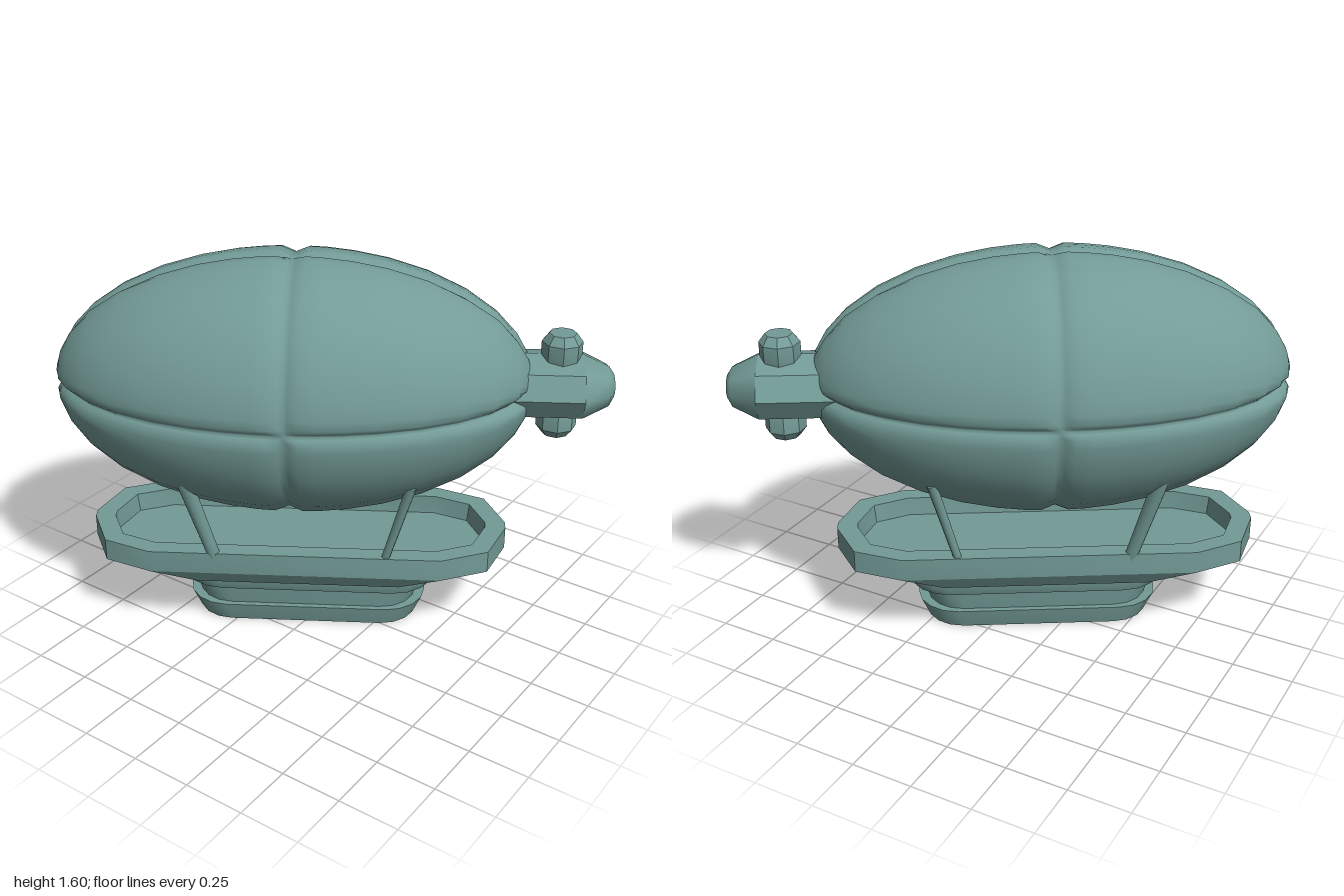
import * as THREE from 'three';
import { mergeVertices, toCreasedNormals } from 'three/addons/utils/BufferGeometryUtils.js';

const material = new THREE.MeshStandardMaterial({ color: 0x739b97 });

function addPart(parent, name, geometry) {
  const mesh = new THREE.Mesh(geometry, material);
  mesh.name = name;
  parent.add(mesh);
  return mesh;
}

// Rounded oblong outline; n = segments per corner
function oblong(L, W, n) {
  const r = W * 0.92, pts = [];
  for (let q = 0; q < 4; q++) {
    const sx = q === 0 || q === 3 ? 1 : -1, sz = q < 2 ? 1 : -1;
    for (let k = 0; k <= n; k++) {
      const a = (q + k / n) * Math.PI / 2;
      pts.push([sx * (L - r) + r * Math.cos(a), sz * (W - r) + r * Math.sin(a)]);
    }
  }
  return pts;
}

// Skin through oblong rings [y, halfLength, halfWidth, shift]; a ring of zero width closes an end
function loft(rings, n) {
  const loops = rings.map(([y, L, W, s = 0]) => oblong(L, W, n).map(([x, z]) => new THREE.Vector3(x + s, y, z)));
  const pos = [], e1 = new THREE.Vector3(), e2 = new THREE.Vector3();
  const tri = (a, b, c) => {
    if (e1.subVectors(b, a).cross(e2.subVectors(c, a)).length() < 1e-9) return;
    for (const p of [a, b, c]) pos.push(p.x, p.y, p.z);
  };
  for (let i = 0; i < loops.length - 1; i++) {
    const lo = loops[i], hi = loops[i + 1];
    for (let j = 0; j < lo.length; j++) {
      const k = (j + 1) % lo.length;
      tri(lo[j], hi[j], hi[k]);
      tri(lo[j], hi[k], lo[k]);
    }
  }
  const g = new THREE.BufferGeometry();
  g.setAttribute('position', new THREE.Float32BufferAttribute(pos, 3));
  return toCreasedNormals(g, 0.5);
}

// Ellipsoid with grooves on its three middle planes; vertices crowd toward the grooves
function balloonGeometry(a, b) {
  const m = 14;
  let g = new THREE.SphereGeometry(1, 4 * m, 2 * m);
  g.deleteAttribute('uv');
  g.deleteAttribute('normal');
  const p = g.attributes.position;
  const crowd = (angle) => {
    const t = angle / (Math.PI / 2), q = Math.floor(t + 1e-6), f = t - q;
    return (q + f - 0.85 * Math.sin(2 * Math.PI * f) / (2 * Math.PI)) * Math.PI / 2;
  };
  for (let i = 0; i < p.count; i++) {
    const theta = crowd(Math.acos(THREE.MathUtils.clamp(p.getY(i), -1, 1)));
    const phi = crowd(Math.atan2(p.getZ(i), p.getX(i)) + Math.PI);
    const n = [Math.cos(theta), Math.sin(theta) * Math.cos(phi), Math.sin(theta) * Math.sin(phi)];
    const near = Math.min(...n.map(Math.abs));
    const s = 1 - 0.045 * Math.max(0, 1 - near / 0.06);
    p.setXYZ(i, n[0] * a * s, n[1] * b * s, n[2] * b * s);
  }
  g = mergeVertices(g, 1e-4);
  // Orient faces outward
  const idx = g.index, v = [0, 1, 2].map(() => new THREE.Vector3());
  for (let i = 0; i < idx.count; i += 3) {
    v.forEach((u, k) => u.fromBufferAttribute(g.attributes.position, idx.getX(i + k)));
    const out = v[0].clone().add(v[1]).add(v[2]);
    const nrm = v[1].clone().sub(v[0]).cross(v[2].clone().sub(v[0]));
    if (nrm.dot(out) < 0) {
      const t = idx.getX(i + 1);
      idx.setX(i + 1, idx.getX(i + 2));
      idx.setX(i + 2, t);
    }
  }
  g.computeVertexNormals();
  return g;
}

const turned = (pts, sides) =>
  toCreasedNormals(new THREE.LatheGeometry(pts.map(([r, y]) => new THREE.Vector2(r, y)), sides), 0.6);

export function createModel() {
  const model = new THREE.Group();
  // The ship's long axis is local x, tail toward +x
  const ship = new THREE.Group();
  ship.name = 'airship';
  ship.position.set(-0.115, 0, 0.045);
  ship.rotation.y = 0.55;
  model.add(ship);

  // Gas envelope
  addPart(ship, 'balloon', balloonGeometry(0.965, 0.537)).position.set(-0.016, 1.07, 0);

  // Deck tray with raised rim and sunken floor
  addPart(ship, 'deck', loft([
    [0.25, 0.4, 0, 0.01], [0.25, 0.66, 0.26, 0.01], [0.315, 0.875, 0.3],
    [0.41, 0.875, 0.3], [0.41, 0.79, 0.225], [0.33, 0.78, 0.22], [0.33, 0.55, 0],
  ], 2));

  // Stepped hull under the deck
  addPart(ship, 'upperHull', loft([
    [0.17, 0.36, 0, 0.042], [0.17, 0.535, 0.19, 0.042], [0.2, 0.555, 0.2, 0.042], [0.255, 0.57, 0.205, 0.042],
  ], 4));
  addPart(ship, 'hullNeck', loft([[0.07, 0.46, 0.16, 0.035], [0.18, 0.5, 0.172, 0.035]], 4));
  addPart(ship, 'keel', loft([
    [0, 0.32, 0, 0.035], [0, 0.47, 0.165, 0.035], [0.035, 0.485, 0.175, 0.035],
    [0.083, 0.507, 0.185, 0.035], [0.083, 0.35, 0, 0.035],
  ], 4));

  // Four struts, the front pair thicker
  for (const sx of [-1, 1]) {
    for (const sz of [-1, 1]) {
      const foot = new THREE.Vector3(0.02 + sx * 0.348, 0.38, sz * 0.274);
      const head = new THREE.Vector3(0.02 + sx * 0.45, 0.77, sz * 0.335);
      const r = sx < 0 ? 0.034 : 0.021;
      const dir = head.clone().sub(foot);
      const g = toCreasedNormals(new THREE.CylinderGeometry(r, r * 0.8, dir.length(), 8), 0.9);
      const strut = addPart(ship, sx < 0 ? 'frontStrut' : 'rearStrut', g);
      strut.position.copy(foot).add(head).multiplyScalar(0.5);
      strut.quaternion.setFromUnitVectors(new THREE.Vector3(0, 1, 0), dir.normalize());
    }
  }

  // Tail engine: flattened eight-sided body along the axis
  const body = turned([[0, 0.82], [1, 0.82], [1, 1.14], [0.62, 1.245], [0.35, 1.268], [0, 1.275]], 8);
  body.scale(0.13, 1, 0.18).rotateZ(-Math.PI / 2);
  addPart(ship, 'tailEngine', body).position.set(0, 1.07, -0.02);

  // Pods above and below the tail engine
  for (const s of [1, -1]) {
    const pod = addPart(ship, s > 0 ? 'upperPod' : 'lowerPod',
      turned([[0.07, 0.08], [0.082, 0.125], [0.082, 0.185], [0.055, 0.22], [0, 0.222]], 8));
    pod.position.set(1.052, 1.07, -0.022);
    if (s < 0) pod.rotation.x = Math.PI;
  }
  return model;
}
